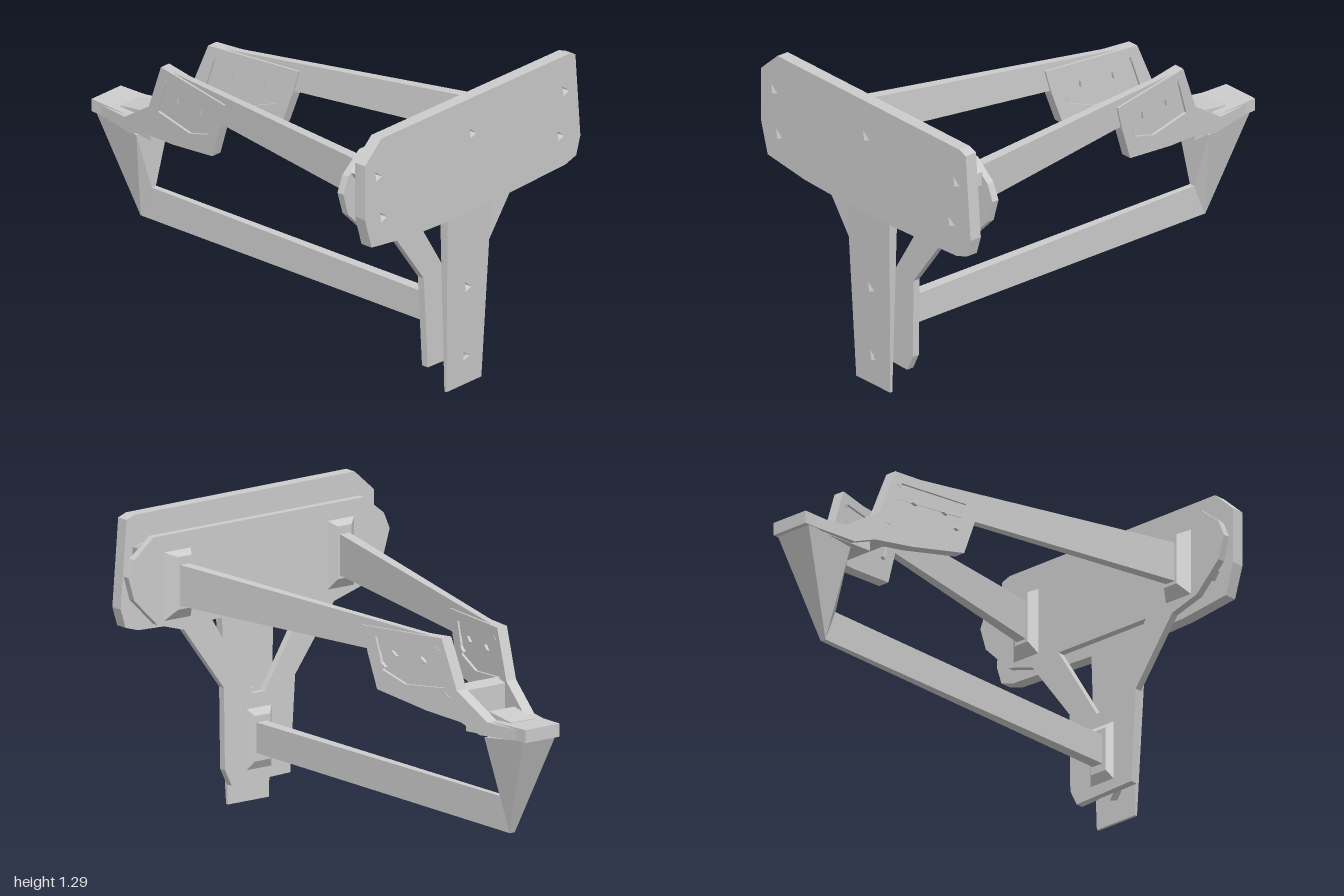
import * as THREE from 'three';
import { ConvexGeometry } from 'three/addons/geometries/ConvexGeometry.js';

const mat = new THREE.MeshStandardMaterial({ color: 0xcccccc, flatShading: true, side: THREE.DoubleSide });
const v2 = (p) => p.map(([a, b]) => new THREE.Vector2(a, b));

function add(group, name, geo) {
  const mesh = new THREE.Mesh(geo, mat);
  mesh.name = name;
  group.add(mesh);
  return mesh;
}

// Extruded outline with optional holes
function slab(points, depth, holes = []) {
  const shape = new THREE.Shape(v2(points));
  holes.forEach((h) => shape.holes.push(new THREE.Path(v2(h))));
  return new THREE.ExtrudeGeometry(shape, { depth, bevelEnabled: false });
}

// Outline given as (z, y), standing upright between x0 and x1
function wall(points, x0, x1, holes) {
  return slab(points, x1 - x0, holes).rotateY(-Math.PI / 2).translate(x1, 0, 0);
}

const triangle = ([z, y], r = 0.022) => [[z - r, y - 0.4 * r], [z + r * 0.8, y + r], [z + r * 0.5, y - r]];

// Solid between rectangular sections [x, y0, y1, zCentre, halfWidth]
function bar(...sections) {
  return new ConvexGeometry(sections.flatMap(([x, y0, y1, z, w]) => [
    [y0, -w], [y0, w], [y1, -w], [y1, w],
  ].map(([y, dz]) => new THREE.Vector3(x, y, z + dz))));
}

export function createModel() {
  const root = new THREE.Group();
  root.name = 'bracketFrame';

  // Outer T plate: wide panel and tapering stem, with triangular bolt holes
  const panelBolts = [[0.57, 1.13], [0, 1.13], [-0.56, 1.13], [0.54, 0.94], [-0.53, 0.94]];
  const stemBolts = [[0, 0.44], [0, 0.13]];
  add(root, 'outerPanel', wall([
    [0.55, 1.29], [-0.58, 1.285], [-0.62, 1.27], [-0.65, 0.9], [-0.625, 0.82], [-0.56, 0.8],
    [-0.13, 0.785], [0.135, 0.785], [0.38, 0.795], [0.61, 0.825], [0.65, 0.96], [0.65, 1.2],
  ], 0.945, 1, panelBolts.map((b) => triangle(b))));
  const stem = wall([[0.11, 0], [0.135, 0.785], [-0.13, 0.785], [-0.1, 0]], 0.945, 0.985,
    stemBolts.map((b) => triangle(b)));
  const sp = stem.attributes.position;
  for (let i = 0; i < sp.count; i++) {
    if (sp.getX(i) > 0.96) sp.setX(i, 0.957 + 0.036 * sp.getY(i));
  }
  stem.computeVertexNormals();
  add(root, 'outerStem', stem);

  // Inner plate: pointed crossbar with Y struts around a triangular opening
  add(root, 'innerPlate', wall([
    [0.54, 1.2], [-0.54, 1.2], [-0.64, 1.12], [-0.67, 1.05], [-0.64, 0.95], [-0.52, 0.83], [-0.385, 0.79],
    [-0.18, 0.515], [-0.175, 0.17], [-0.14, 0.1], [0.16, 0.11],
    [0.185, 0.515], [0.385, 0.79], [0.52, 0.83], [0.64, 0.95], [0.67, 1.05], [0.64, 1.12],
  ], 0.868, 0.9, [[[-0.24, 0.81], [0.24, 0.81], [0.03, 0.47], [-0.03, 0.47]]]));

  // Flared spacers between the two plates
  [...panelBolts, ...stemBolts].forEach(([z, y]) => {
    const geo = new THREE.CylinderGeometry(0.035, 0.055, 0.05, 5);
    const mesh = add(root, 'spacer', geo.rotateZ(-Math.PI / 2));
    mesh.position.set(0.921, y, z);
  });

  // Lower beam with its flange
  add(root, 'lowerBeam', bar([-0.8, 0.217, 0.36, 0, 0.012], [0.86, 0.225, 0.352, -0.005, 0.026]));
  add(root, 'lowerFlange', bar([0.87, 0.15, 0.41, 0, 0.065], [0.845, 0.19, 0.38, 0, 0.04]));

  // Upright widening from the lower beam to the head
  add(root, 'upright', new ConvexGeometry([-1, 1].flatMap((s) => [
    [-0.98, 0.65, 0.085], [-0.745, 0.62, 0.1], [-0.8, 0.217, 0.013], [-0.74, 0.36, 0.013],
  ].map(([x, y, z]) => new THREE.Vector3(x, y, s * z)))));

  // Head: front lip, floor, raised block and crosspiece between the clamps
  add(root, 'headLip', bar([-1, 0.645, 0.7, 0, 0.088], [-0.79, 0.645, 0.695, 0, 0.1]));
  add(root, 'headFloor', bar([-0.95, 0.64, 0.685, 0, 0.08], [-0.65, 0.63, 0.68, 0, 0.12]));
  add(root, 'headBlock', bar([-0.87, 0.66, 0.7, 0, 0.06], [-0.73, 0.66, 0.72, 0, 0.065]));
  add(root, 'crosspiece', bar([-0.62, 0.68, 0.79, 0, 0.12], [-0.55, 0.69, 0.8, 0, 0.13]));

  // Mirrored upper side: beam, flange and clamp following the same slant
  const slantZ = (x) => 0.133 + 0.194 * (x + 0.6);
  const slanted = (geo, s, offset) => {
    const p = geo.attributes.position;
    for (let i = 0; i < p.count; i++) p.setZ(i, p.getZ(i) + s * (slantZ(p.getX(i)) + offset));
    geo.computeVertexNormals();
    return geo;
  };
  const clampOutline = [
    [-0.95, 0.645], [-0.75, 0.635], [-0.65, 0.672], [-0.47, 0.69], [-0.21, 0.735], [-0.16, 0.88], [-0.13, 0.99],
    [-0.55, 1.005], [-0.63, 0.8], [-0.79, 0.695], [-0.95, 0.69],
  ];
  const recess = [[-0.52, 0.96], [-0.2, 0.955], [-0.24, 0.82], [-0.36, 0.78], [-0.57, 0.8]];
  const clampBolts = [[-0.53, 0.955], [-0.3, 0.895], [-0.45, 0.895], [-0.24, 0.84], [-0.58, 0.77]];
  for (const s of [1, -1]) {
    const side = new THREE.Group();
    side.name = s > 0 ? 'frontSide' : 'rearSide';
    root.add(side);
    add(side, 'upperBeam', bar(
      [-0.53, 0.89, 1.0, s * slantZ(-0.53), 0.014],
      [0.85, 0.905, 1.077, s * slantZ(0.85), 0.024],
    ));
    add(side, 'upperFlange', bar(
      [0.87, 0.84, 1.13, s * 0.42, 0.07], [0.83, 0.89, 1.11, s * 0.41, 0.035],
    ));
    add(side, 'clamp', slanted(slab(clampOutline, 0.05, [recess]).translate(0, 0, -0.025), s, 0));
    add(side, 'clampWeb', slanted(slab(recess, 0.026).translate(0, 0, -0.013), s, 0));
    clampBolts.forEach(([x, y]) => {
      add(side, 'clampBolt', slanted(slab(triangle([x, y], 0.014), 0.054).translate(0, 0, -0.027), s, 0));
    });
  }

  return root;
}
